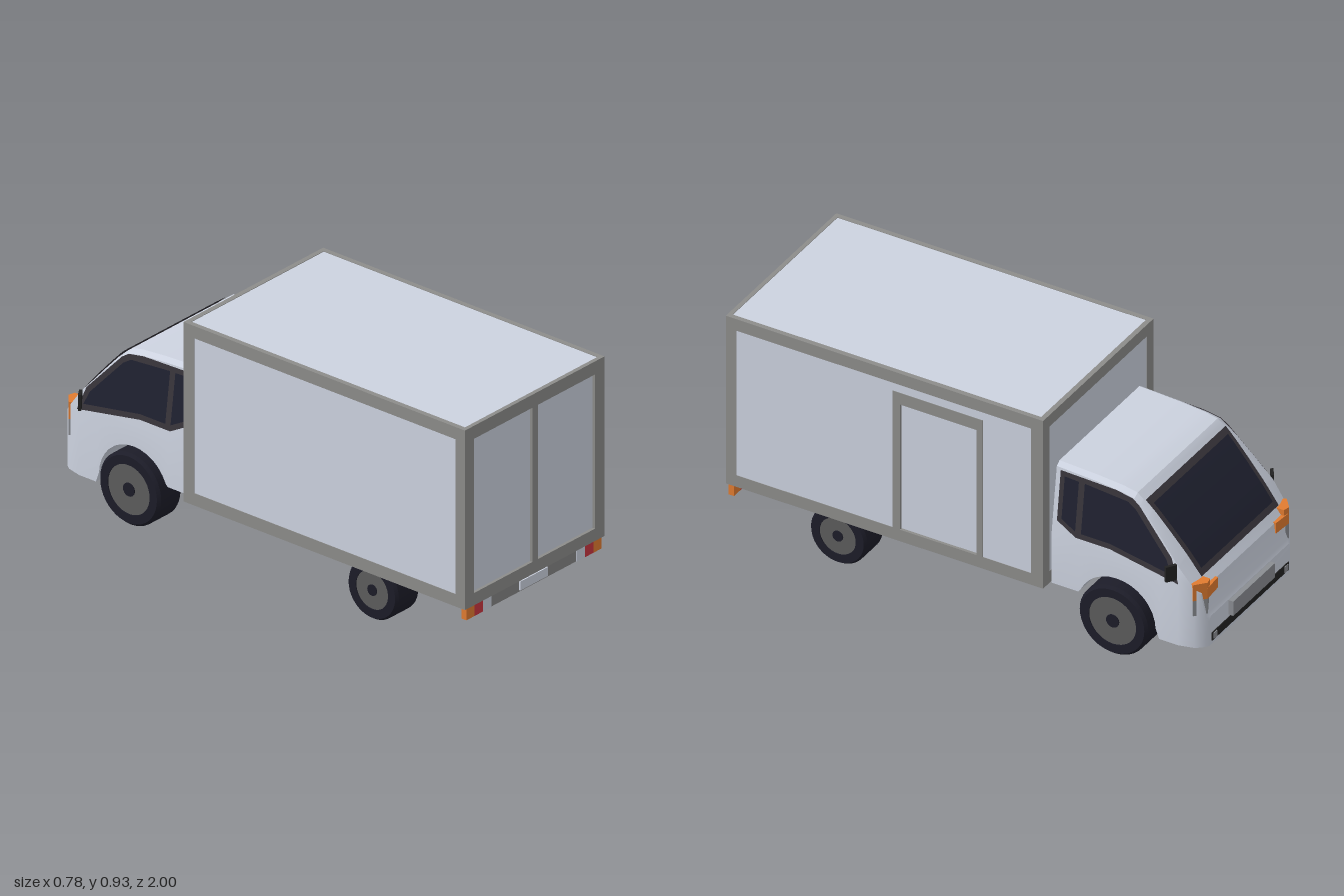
import * as THREE from 'three';
import { toCreasedNormals } from 'three/addons/utils/BufferGeometryUtils.js';

const mat = (color) => new THREE.MeshStandardMaterial({ color, side: THREE.DoubleSide });
const PANEL = mat(0xccd2df), FRAME = mat(0x8c8c8a), TIRE = mat(0x1c1c28), RIM = mat(0x5c5c5c),
  DARK = mat(0x222222), GLASS = mat(0x1f2130), TRIM = mat(0x38343a), ORANGE = mat(0xe07b30),
  RED = mat(0xc93440), LAMP = mat(0x8a8d92), BUMPER = mat(0x858585);

function add(parent, name, geometry, material) {
  const mesh = new THREE.Mesh(geometry, material);
  mesh.name = name;
  parent.add(mesh);
  return mesh;
}
// Box given by its limits
function box(parent, name, material, x0, x1, y0, y1, z0, z1) {
  const m = add(parent, name, new THREE.BoxGeometry(x1 - x0, y1 - y0, z1 - z0), material);
  m.position.set((x0 + x1) / 2, (y0 + y1) / 2, (z0 + z1) / 2);
  return m;
}
const poly = (pts) => pts.map(([x, y]) => new THREE.Vector2(x, y));
const rect = (x0, y0, x1, y1) => [[x0, y0], [x1, y0], [x1, y1], [x0, y1]];
const extrude = (pts, depth, holes = []) => {
  const shape = new THREE.Shape(poly(pts));
  holes.forEach((h) => shape.holes.push(new THREE.Path(poly(h))));
  return new THREE.ExtrudeGeometry(shape, { depth, bevelEnabled: false });
};
// Piecewise linear lookup in [key, value] pairs with falling keys
function lookup(table, k) {
  for (let i = 1; i < table.length; i++) {
    const [a, va] = table[i - 1], [b, vb] = table[i];
    if (k >= b) return va + (vb - va) * Math.max(0, (k - a) / (b - a));
  }
  return table[table.length - 1][1];
}

// Cargo box: inset core, with a frame and panels on each face
const T = 0.012;
function cargoBox() {
  const g = new THREE.Group();
  g.name = 'cargoBox';
  box(g, 'core', PANEL, -0.39 + T, 0.39 - T, 0.2 + T, 0.93 - T, -0.34 + T, 1 - T);
  box(g, 'floor', FRAME, -0.39, 0.39, 0.2, 0.2 + T, -0.34, 1);
  function face(name, outline, flush, recessed, rotation, position) {
    const f = new THREE.Group();
    f.name = name;
    add(f, name + 'Frame', extrude(outline, T, [...flush, ...recessed]), FRAME);
    flush.forEach((p) => add(f, name + 'Panel', extrude(p, T - 0.002), PANEL));
    f.rotation.set(...rotation);
    f.position.set(...position);
    g.add(f);
  }
  const H = Math.PI / 2;
  face('doorSide', rect(-1, 0.2, 0.34, 0.93),
    [[[-0.955, 0.25], [-0.295, 0.25], [-0.295, 0.845], [0.085, 0.845], [0.085, 0.25], [0.29, 0.25], [0.29, 0.88], [-0.955, 0.88]]],
    [rect(-0.265, 0.25, 0.06, 0.795)], [0, H, 0], [0.39 - T, 0, 0]);
  face('plainSide', rect(-0.34, 0.2, 1, 0.93), [rect(-0.29, 0.25, 0.955, 0.88)], [], [0, -H, 0], [-0.39 + T, 0, 0]);
  face('loadingEnd', rect(-0.39, 0.2, 0.39, 0.93), [],
    [rect(-0.34, 0.25, -0.013, 0.877), rect(0.017, 0.25, 0.337, 0.877)], [0, 0, 0], [0, 0, 1 - T]);
  face('cabEnd', rect(-0.39, 0.2, 0.39, 0.93), [rect(-0.345, 0.25, 0.345, 0.88)], [], [0, Math.PI, 0], [0, 0, -0.34 + T]);
  face('roof', rect(-0.39, -1, 0.39, 0.34), [rect(-0.37, -0.983, 0.37, 0.32)], [], [-H, 0, 0], [0, 0.93 - T, 0]);
  return g;
}

// Cab surface rules: roof line, plan taper at the nose, wall lean, wheel arch
const ROOF = [[-0.345, 0.7], [-0.515, 0.692], [-0.62, 0.683], [-0.675, 0.672], [-0.7, 0.652], [-0.74, 0.615],
  [-0.8, 0.55], [-0.875, 0.465], [-0.94, 0.38], [-0.96, 0.355], [-0.972, 0.25], [-0.98, 0.235]];
const NOSE = [[-0.345, 0.34], [-0.88, 0.34], [-0.94, 0.325], [-0.96, 0.31], [-0.972, 0.297], [-0.98, 0.285]];
const wall = (y) => 0.34 - 0.135 * (y - 0.4);
const halfWidth = (y, z) => Math.min(wall(Math.max(y, 0.4)), lookup(NOSE, z));
function sill(z) {
  const d = z + 0.62, r = 0.165;
  const arch = Math.abs(d) < r ? 0.147 + Math.sqrt(r * r - d * d) : 0;
  return Math.max(z > -0.62 ? 0.2 : 0.11, arch);
}

function cabShell() {
  const zs = [...ROOF, ...NOSE].map((p) => p[0]);
  for (let i = 0; i <= 16; i++) zs.push(-0.62 + 0.1649 * Math.cos((i * Math.PI) / 16));
  const stations = [...new Set(zs)].sort((a, b) => b - a);
  const rings = stations.map((z) => {
    const top = lookup(ROOF, z), low = sill(z), shoulder = top - 0.014;
    const belt = Math.min(0.4, shoulder - 0.005);
    const half = [low, belt, shoulder].map((y) => [halfWidth(y, z), y]);
    half.push([Math.min(0.282, lookup(NOSE, z) - 0.01), top]);
    return [...half, ...half.slice().reverse().map(([x, y]) => [-x, y])].map(([x, y]) => [x, y, z]);
  });
  const n = rings[0].length, pos = [];
  const tri = (...p) => p.forEach((v) => pos.push(...v));
  for (let s = 0; s + 1 < rings.length; s++) {
    const a = rings[s], b = rings[s + 1];
    for (let i = 0; i < n; i++) {
      const j = (i + 1) % n;
      tri(a[i], b[i], b[j]);
      tri(a[i], b[j], a[j]);
    }
  }
  const back = rings[0], front = rings[rings.length - 1];
  for (let i = 1; i + 1 < n; i++) {
    tri(back[0], back[i], back[i + 1]);
    tri(front[0], front[i + 1], front[i]);
  }
  const geo = new THREE.BufferGeometry();
  geo.setAttribute('position', new THREE.Float32BufferAttribute(pos, 3));
  return toCreasedNormals(geo, 0.4);
}

// Strip lying on the windscreen slope
function screenStrip(z0, z1, x0, x1, lift) {
  const geo = new THREE.PlaneGeometry(2, 1, 1, 10), p = geo.attributes.position;
  for (let i = 0; i < p.count; i++) {
    const t = 0.5 - p.getY(i), z = z0 + (z1 - z0) * t;
    p.setXYZ(i, p.getX(i) * (x0 + (x1 - x0) * t), lookup(ROOF, z) + lift, z - lift);
  }
  geo.computeVertexNormals();
  return geo;
}
// Flat [z, y] outline laid on the leaning cab wall
function wallSheet(pts, side, lift) {
  const geo = new THREE.ShapeGeometry(new THREE.Shape(poly(pts.map(([z, y]) => [-z, y])))), p = geo.attributes.position;
  for (let i = 0; i < p.count; i++) p.setXYZ(i, side * (wall(p.getY(i)) + lift), p.getY(i), -p.getX(i));
  if (side < 0) geo.setIndex([...geo.index.array].reverse());
  geo.computeVertexNormals();
  return geo;
}

function cab() {
  const g = new THREE.Group();
  g.name = 'cab';
  add(g, 'cabShell', cabShell(), PANEL);
  add(g, 'windscreenFrame', screenStrip(-0.705, -0.935, 0.282, 0.272, 0.004), TRIM);
  add(g, 'windscreen', screenStrip(-0.725, -0.92, 0.262, 0.252, 0.006), GLASS);
  const frame = [[-0.365, 0.678], [-0.6, 0.672], [-0.67, 0.66], [-0.7, 0.64], [-0.85, 0.475], [-0.885, 0.38], [-0.59, 0.43], [-0.447, 0.43], [-0.365, 0.475]];
  const quarter = [[-0.385, 0.66], [-0.445, 0.657], [-0.445, 0.455], [-0.385, 0.488]];
  const pane = [[-0.47, 0.657], [-0.655, 0.643], [-0.69, 0.62], [-0.83, 0.465], [-0.855, 0.41], [-0.59, 0.453], [-0.47, 0.453]];
  const lampPlan = [[0.205, 0.968], [0.288, 0.974], [0.33, 0.938], [0.32, 0.92], [0.205, 0.93]];
  for (const s of [1, -1]) {
    add(g, 'sideWindowFrame', wallSheet(frame, s, 0.004), TRIM);
    add(g, 'quarterGlass', wallSheet(quarter, s, 0.007), GLASS);
    add(g, 'sideGlass', wallSheet(pane, s, 0.007), GLASS);
    // Corner lamps wrapped around the nose
    const lamp = (name, m, plan, y0, y1) => {
      const l = add(g, name, extrude(plan.map(([x, z]) => [s * x, z]), y1 - y0), m);
      l.rotation.x = -Math.PI / 2;
      l.position.y = y0;
    };
    lamp('indicator', ORANGE, lampPlan, 0.315, 0.36);
    lamp('indicatorCorner', ORANGE, lampPlan.map(([x, z]) => [Math.max(x, 0.26), z]), 0.36, 0.385);
    lamp('headlamp', LAMP, lampPlan.map(([x, z]) => [Math.max(x, 0.27), z]), 0.25, 0.315);
    const mirror = box(g, 'wingMirror', DARK, 0.335 * s, 0.38 * s, 0.395, 0.46, -0.866, -0.854);
    mirror.scale.x = s;
    mirror.rotation.y = -0.6 * s;
    box(g, 'fogLamp', LAMP, s * 0.25 - 0.012, s * 0.25 + 0.012, 0.13, 0.155, -0.986, -0.975);
  }
  box(g, 'bumperSlot', DARK, -0.27, 0.27, 0.125, 0.16, -0.983, -0.97);
  box(g, 'cabPlate', LAMP, -0.145, 0.15, 0.17, 0.232, -1, -0.97);
  return g;
}

function wheel(x, y, z, r, rimR, hubR, side) {
  const g = new THREE.Group();
  g.name = 'wheel';
  const w = 0.066;
  const prof = [[0, -w], [r * 0.93, -w], [r, -w + 0.012], [r, w - 0.012], [r * 0.93, w], [rimR, w], [rimR, w - 0.012], [0, w - 0.012]];
  add(g, 'tire', toCreasedNormals(new THREE.LatheGeometry(poly(prof), 40), 0.5), TIRE);
  add(g, 'rim', new THREE.CylinderGeometry(rimR, rimR, 0.008, 32), RIM).position.y = w - 0.008;
  add(g, 'hub', new THREE.CylinderGeometry(hubR, hubR, 0.008, 20), TIRE).position.y = w - 0.004;
  g.rotation.z = -side * Math.PI / 2;
  g.position.set(x, y, z);
  return g;
}

export function createModel() {
  const model = new THREE.Group();
  model.name = 'boxTruck';
  model.add(cargoBox(), cab());
  box(model, 'chassis', DARK, -0.235, 0.243, 0.147, 0.201, -0.385, 0.97);
  for (const s of [1, -1]) {
    model.add(wheel(0.004 + s * 0.305, 0.119, 0.537, 0.119, 0.077, 0.022, s));
    model.add(wheel(0.003 + s * 0.303, 0.145, -0.622, 0.145, 0.1, 0.027, s));
  }
  // Tail lamps and bumper below the loading doors
  box(model, 'tailBumper', BUMPER, -0.23, 0.243, 0.15, 0.2, 0.965, 0.99);
  box(model, 'tailPlate', PANEL, -0.075, 0.08, 0.156, 0.192, 0.985, 0.995);
  const lamps = [['reverseLamp', PANEL, 0.238, 0.285], ['brakeLamp', RED, 0.285, 0.333], ['turnLamp', ORANGE, 0.333, 0.378]];
  for (const s of [1, -1]) for (const [name, m, a, b] of lamps) {
    box(model, name, m, 0.004 + Math.min(s * a, s * b), 0.004 + Math.max(s * a, s * b), 0.15, 0.2, 0.97, 0.993);
  }
  return model;
}
